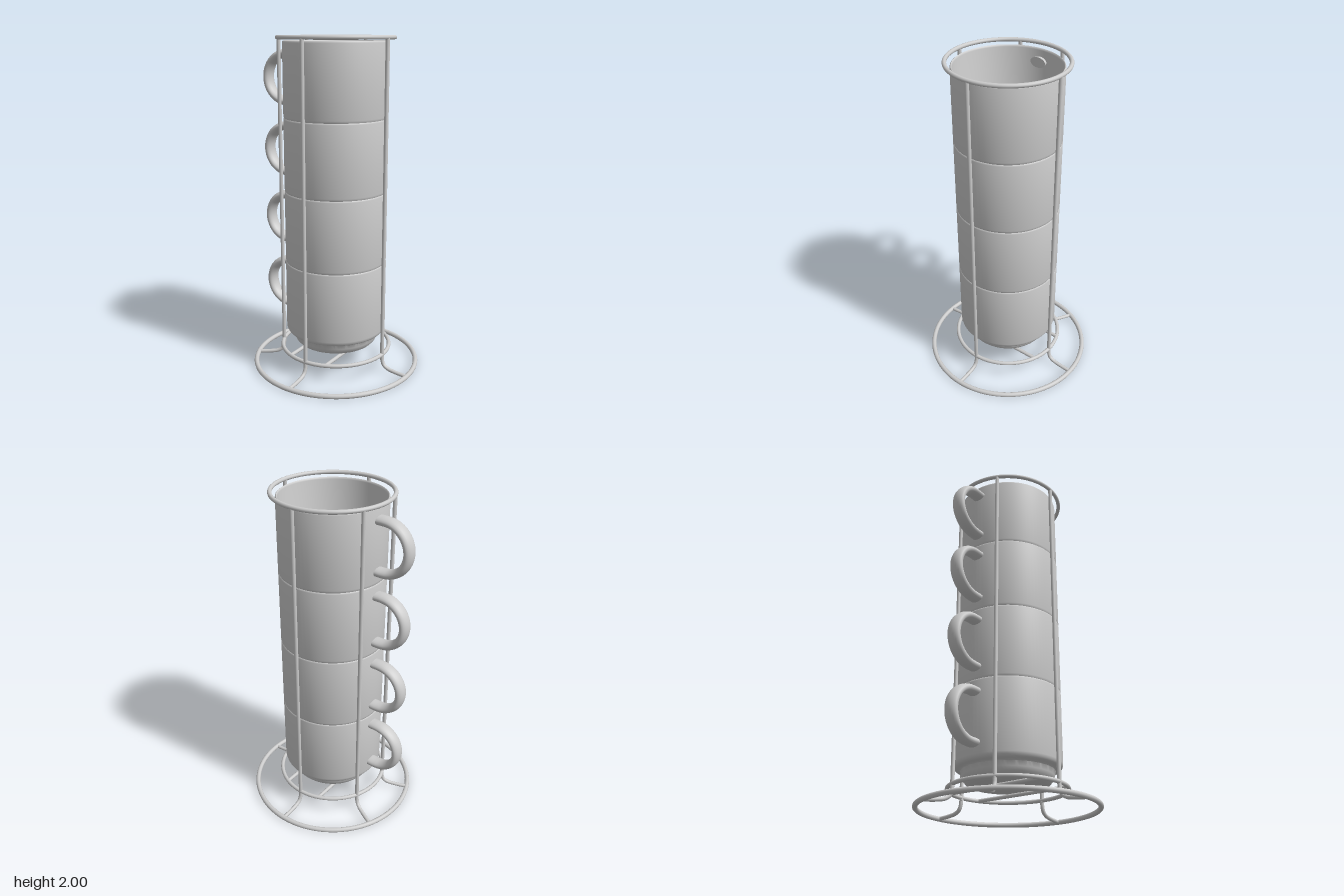
import * as THREE from 'three';
import { toCreasedNormals } from 'three/addons/utils/BufferGeometryUtils.js';

export function createModel() {
  const model = new THREE.Group();
  model.name = 'stackedCupsOnRack';
  const grey = new THREE.MeshStandardMaterial({ color: 0xcccccc });
  grey.name = 'light grey';

  const add = (parent, name, geometry) => {
    const mesh = new THREE.Mesh(geometry, grey);
    mesh.name = name;
    parent.add(mesh);
    return mesh;
  };
  const v = (x, y, z = 0) => new THREE.Vector3(x, y, z);
  const WIRE = 0.0115;
  const RACK = 0.333;

  // ---- Wire rack ----
  const rack = new THREE.Group();
  rack.name = 'rack';
  model.add(rack);

  const ring = (name, radius, y, tube) => {
    const mesh = add(rack, name, new THREE.TorusGeometry(radius, tube, 12, 96));
    mesh.rotation.x = Math.PI / 2;
    mesh.position.y = y;
  };
  ring('topRing', RACK, 1.988, 0.012);
  ring('supportRing', RACK, 0.115, 0.012);
  ring('baseRing', 0.501, 0.0145, 0.0145);

  // Upright wires, each bending outward into a foot on the base ring
  const postGeo = new THREE.CylinderGeometry(WIRE, WIRE, 1.888, 12);
  postGeo.translate(RACK, 1.044, 0);
  const footPath = new THREE.CatmullRomCurve3([
    v(RACK, 0.1), v(0.336, 0.075), v(0.348, 0.048), v(0.375, 0.031), v(0.42, 0.022), v(0.5, 0.0145),
  ]);
  const footGeo = new THREE.TubeGeometry(footPath, 28, WIRE, 12);
  for (const degrees of [0, 90, 155, 205, 270]) {
    const leg = new THREE.Group();
    leg.name = 'rackLeg';
    leg.rotation.y = THREE.MathUtils.degToRad(degrees);
    add(leg, 'post', postGeo);
    add(leg, 'foot', footGeo);
    rack.add(leg);
  }

  // Two bars under the lowest cup
  for (const x of [-0.125, 0.125]) {
    const bar = add(rack, 'supportBar', new THREE.CylinderGeometry(WIRE, WIRE, 0.62, 12));
    bar.rotation.x = Math.PI / 2;
    bar.position.set(x, 0.115, 0);
  }

  // ---- Cups ----
  // Outside from the base up to the rim, then down the inside to the floor
  const profile = [
    [0, 0], [0.15, 0], [0.19, 0.002], [0.215, 0.008], [0.235, 0.018], [0.25, 0.034],
    [0.259, 0.055], [0.264, 0.083], [0.27, 0.088], [0.286, 0.091], [0.296, 0.097],
    [0.303, 0.107], [0.306, 0.12], [0.306, 0.53], [0.304, 0.538], [0.3, 0.541],
    [0.296, 0.538], [0.294, 0.53], [0.294, 0.122], [0.29, 0.11], [0.282, 0.103],
    [0.266, 0.099], [0.256, 0.09], [0.25, 0.062], [0.239, 0.041], [0.222, 0.026],
    [0.195, 0.016], [0.15, 0.012], [0, 0.012],
  ].map(([r, y]) => new THREE.Vector2(r, y));
  const cupGeo = toCreasedNormals(new THREE.LatheGeometry(profile, 80), 0.7);

  // Handle: a C-shaped loop of oval section whose ends pass through the wall
  const HX = -0.347, HY = 0.323, HR = 0.144;
  const loop = [v(-0.275, HY + HR), v(-0.31, HY + HR)];
  for (let i = 0; i <= 12; i++) {
    const a = Math.PI / 2 + (i / 12) * Math.PI;
    loop.push(v(HX + HR * Math.cos(a), HY + HR * Math.sin(a)));
  }
  loop.push(v(-0.31, HY - HR), v(-0.275, HY - HR));
  const handleGeo = new THREE.TubeGeometry(new THREE.CatmullRomCurve3(loop), 64, 0.0255, 20);
  handleGeo.scale(1, 1, 1.65);

  // Slightly flared closed end, seen inside the cup
  const endGeo = new THREE.CylinderGeometry(0.03, 0.0265, 0.03, 24);
  endGeo.rotateZ(-Math.PI / 2);
  endGeo.scale(1, 1, 1.65);

  for (let i = 0; i < 4; i++) {
    const cup = new THREE.Group();
    cup.name = 'cup';
    cup.position.y = 0.13 + i * 0.433;
    add(cup, 'cupBody', cupGeo);
    add(cup, 'handle', handleGeo);
    for (const side of [-1, 1]) {
      add(cup, 'handleEnd', endGeo).position.set(-0.286, HY + side * HR, 0);
    }
    model.add(cup);
  }
  return model;
}
